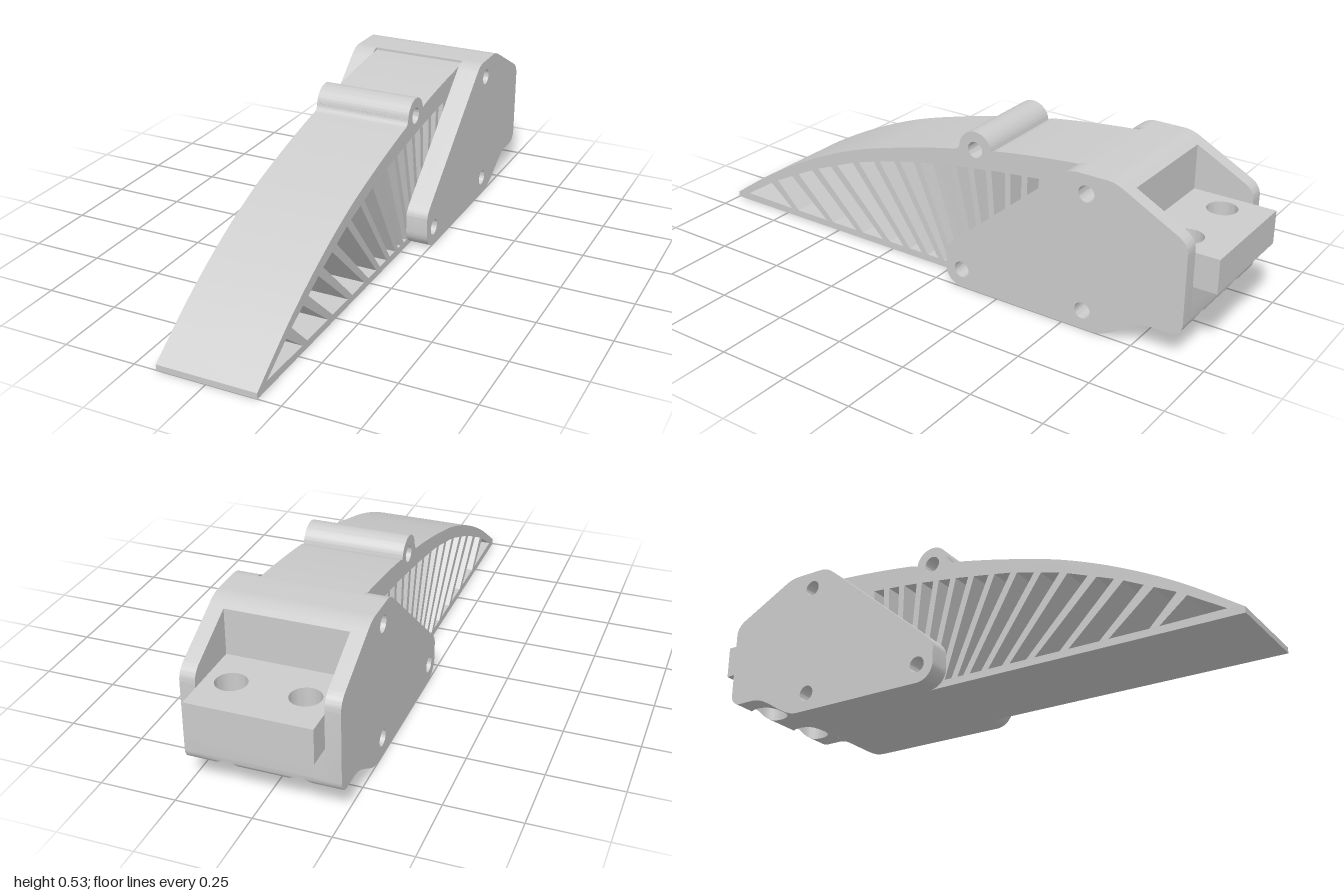
import * as THREE from 'three';
import { toCreasedNormals } from 'three/addons/utils/BufferGeometryUtils.js';

const V = (a, b) => new THREE.Vector2(a, b);
const grey = new THREE.MeshStandardMaterial({ color: 0xcccccc });
const greyDouble = new THREE.MeshStandardMaterial({ color: 0xcccccc, side: THREE.DoubleSide });

const FINGER = 0.172, POCKET = 0.2, OUTER = 0.25;     // half widths
const WALL = -0.715, SLOT = -0.53, BACK = -0.92;      // z of pocket wall, slot end, rear face
const BOLT_X = 0.117, BOLT_Z = -0.854, BORE = 0.065;  // vertical bolt holes

const circle = (x, y, r) => new THREE.Path().absarc(x, y, r, 0, Math.PI * 2, true);

function mesh(name, geo, mat = grey) {
  const m = new THREE.Mesh(toCreasedNormals(geo, 0.5), mat);
  m.name = name;
  return m;
}

// Side profile (z, y) extruded across x from x0 to x1
function sideSlab(name, shape, x0, x1) {
  const g = new THREE.ExtrudeGeometry(shape, { depth: x1 - x0, bevelEnabled: false, curveSegments: 20 });
  g.translate(0, 0, -x1).rotateY(-Math.PI / 2);
  return mesh(name, g);
}

// Plan rectangle with two bolt holes, extruded from y0 up to y1
function boltPlate(name, zBack, y0, y1) {
  const s = new THREE.Shape([V(-POCKET, zBack), V(POCKET, zBack), V(POCKET, WALL), V(-POCKET, WALL)]);
  for (const k of [-1, 1]) s.holes.push(circle(k * BOLT_X, BOLT_Z, 0.05));
  const g = new THREE.ExtrudeGeometry(s, { depth: y1 - y0, bevelEnabled: false, curveSegments: 20 });
  g.rotateX(Math.PI / 2).translate(0, y1, 0);
  return mesh(name, g);
}

// Height of the housing underside: flat, S-curve up, then a rounded rear edge
function underY(z) {
  if (z < -0.88) return 0.13 - Math.sqrt(Math.max(0, 0.0016 - (z + 0.88) ** 2));
  return 0.09 * THREE.MathUtils.smoothstep(-z, 0.61, 0.82);
}
const underZs = [];
for (let i = 0; i <= 14; i++) underZs.push(-0.61 - 0.015 * i);
for (let i = 0; i <= 8; i++) underZs.push(-0.88 - 0.04 * Math.sin((i / 8) * Math.PI / 2));

// Housing side profile
function housingPoints() {
  const s = new THREE.Shape();
  s.moveTo(-0.61, 0);
  s.lineTo(-0.107, 0);
  s.absarc(-0.107, 0.063, 0.063, -Math.PI / 2, 0, false);
  s.lineTo(-0.044, 0.115);
  s.quadraticCurveTo(-0.044, 0.138, -0.075, 0.163);
  s.lineTo(-0.485, 0.513);
  s.quadraticCurveTo(-0.51, 0.534, -0.54, 0.534);
  s.lineTo(-0.64, 0.534);
  s.quadraticCurveTo(-0.67, 0.534, -0.70, 0.518);
  s.lineTo(-0.885, 0.42);
  s.quadraticCurveTo(BACK, 0.402, BACK, 0.365);
  s.lineTo(BACK, 0.13);
  const pts = s.getPoints(10);
  for (let i = underZs.length - 2; i > 0; i--) pts.push(V(underZs[i], underY(underZs[i])));
  return pts;
}

// Keep the part of a polygon on one side of z = c
function clip(pts, c, sign) {
  const out = [];
  pts.forEach((p, i) => {
    const q = pts[(i + 1) % pts.length];
    const a = sign * (p.x - c), b = sign * (q.x - c);
    if (a >= 0) out.push(p);
    if (a * b < 0) out.push(p.clone().lerp(q, a / (a - b)));
  });
  return out;
}

function housingShape(zMin, zMax) {
  const s = new THREE.Shape(clip(clip(housingPoints(), zMin, 1), zMax, -1));
  for (const [z, y] of [[-0.107, 0.065], [-0.573, 0.065], [-0.573, 0.47]])
    if (z > zMin && z < zMax) s.holes.push(circle(z, y, 0.028));
  return s;
}

// Tapered finger outline with hinge knuckle and ribbed openings
function fingerShape() {
  const s = new THREE.Shape();
  s.moveTo(SLOT, 0);
  s.lineTo(1, 0);
  s.lineTo(1, 0.02);
  s.splineThru([V(0.8, 0.153), V(0.6, 0.26), V(0.4, 0.343), V(0.2, 0.402), V(0.04, 0.441), V(-0.025, 0.454)]);
  s.quadraticCurveTo(-0.042, 0.458, -0.045, 0.479);
  s.absarc(-0.107, 0.47, 0.063, 0.15, Math.PI - 0.1, false);
  s.quadraticCurveTo(-0.172, 0.482, -0.2, 0.487);
  s.quadraticCurveTo(-0.36, 0.512, SLOT, 0.524);
  s.holes.push(circle(-0.107, 0.47, 0.028));

  const inner = [[0.95, 0.025], [0.8, 0.118], [0.6, 0.217], [0.4, 0.297], [0.2, 0.352], [0, 0.388], [-0.2, 0.417], [-0.4, 0.437]];
  const innerY = (z) => {
    const i = Math.max(1, inner.findIndex((p) => p[0] <= z));
    const [a, b] = [inner[i - 1], inner[i]];
    return a[1] + (b[1] - a[1]) * (a[0] - z) / (a[0] - b[0]);
  };
  const top = [0.807, 0.70, 0.60, 0.508, 0.406, 0.31, 0.22, 0.134, 0.053, -0.02, -0.09, -0.16, -0.235, -0.30, -0.365];
  const low = [0.71, 0.54, 0.40, 0.278, 0.187, 0.107, 0.037, -0.01, -0.06, -0.107, -0.15, -0.193, -0.24, -0.29, -0.34];
  const floor = 0.025;
  for (let i = 0; i < top.length; i++) {
    // half rib thickness measured along z, wider for leaning ribs
    const half = (j) => 0.011 * Math.hypot(1, (top[j] - low[j]) / (innerY(top[j]) - floor));
    const t1 = top[i] + half(i), l1 = low[i] + half(i);
    const pts = [V(l1, floor), V(t1, innerY(t1))];
    if (i === 0) pts.push(V(0.945, floor + 0.003));
    else {
      const t0 = top[i - 1] - half(i - 1), l0 = low[i - 1] - half(i - 1);
      pts.push(V(t0, innerY(t0)), V(l0, floor));
    }
    s.holes.push(new THREE.Path(pts));
  }
  return s;
}

// Curved underside below the mount, opened by two counterbores
function undersideGeometry(yTop) {
  const zs = [WALL, ...underZs.filter((z) => z < WALL)];
  for (let i = 0; i <= 20; i++) zs.push(BOLT_Z + BORE * Math.cos((i / 20) * Math.PI));
  zs.sort((a, b) => b - a);
  const pos = [];
  const quad = (a, b, c, d) => pos.push(...a, ...b, ...c, ...a, ...c, ...d);
  const halfChord = (z) => Math.sqrt(Math.max(0, BORE ** 2 - (z - BOLT_Z) ** 2));
  const edges = (z) => {
    const h = halfChord(z);
    return [-POCKET, -BOLT_X - h, -BOLT_X + h, BOLT_X - h, BOLT_X + h, POCKET];
  };
  for (let i = 0; i < zs.length - 1; i++) {
    const z0 = zs[i], z1 = zs[i + 1];
    if (z0 - z1 < 1e-5) continue;
    const e0 = edges(z0), e1 = edges(z1), y0 = underY(z0), y1 = underY(z1);
    for (let k = 0; k < 6; k += 2)
      quad([e0[k], y0, z0], [e1[k], y1, z1], [e1[k + 1], y1, z1], [e0[k + 1], y0, z0]);
    // counterbore walls
    if (halfChord((z0 + z1) / 2) > 0)
      for (let k = 1; k < 5; k++) {
        const a = [e0[k], y0, z0], b = [e1[k], y1, z1], c = [e1[k], yTop, z1], d = [e0[k], yTop, z0];
        if (k % 2) quad(a, d, c, b); else quad(a, b, c, d);
      }
  }
  // rear face
  quad([-POCKET, 0.13, BACK], [-POCKET, yTop, BACK], [POCKET, yTop, BACK], [POCKET, 0.13, BACK]);
  const g = new THREE.BufferGeometry();
  g.setAttribute('position', new THREE.Float32BufferAttribute(pos, 3));
  return g;
}

export function createModel() {
  const model = new THREE.Group();
  model.name = 'gripperFinger';
  model.add(sideSlab('ribbedFinger', fingerShape(), -FINGER, FINGER));

  const housing = new THREE.Group();
  housing.name = 'housing';
  for (const [side, k] of [['left', 1], ['right', -1]]) {
    const span = (a, b) => (k > 0 ? [a, b] : [-b, -a]);
    housing.add(sideSlab(side + 'SidePlate', housingShape(-2, 2), ...span(POCKET, OUTER)));
    housing.add(sideSlab(side + 'Cheek', housingShape(WALL, 2), ...span(FINGER, POCKET)));
  }
  housing.add(sideSlab('housingCore', housingShape(WALL, SLOT), -FINGER, FINGER));

  // Rear mounting tab and the bolt seat under it
  housing.add(boltPlate('mountingTab', -1, 0.24, 0.355));
  housing.add(boltPlate('boltSeat', BACK, 0.18, 0.24));
  housing.add(mesh('counterboredUnderside', undersideGeometry(0.18), greyDouble));
  model.add(housing);
  return model;
}
